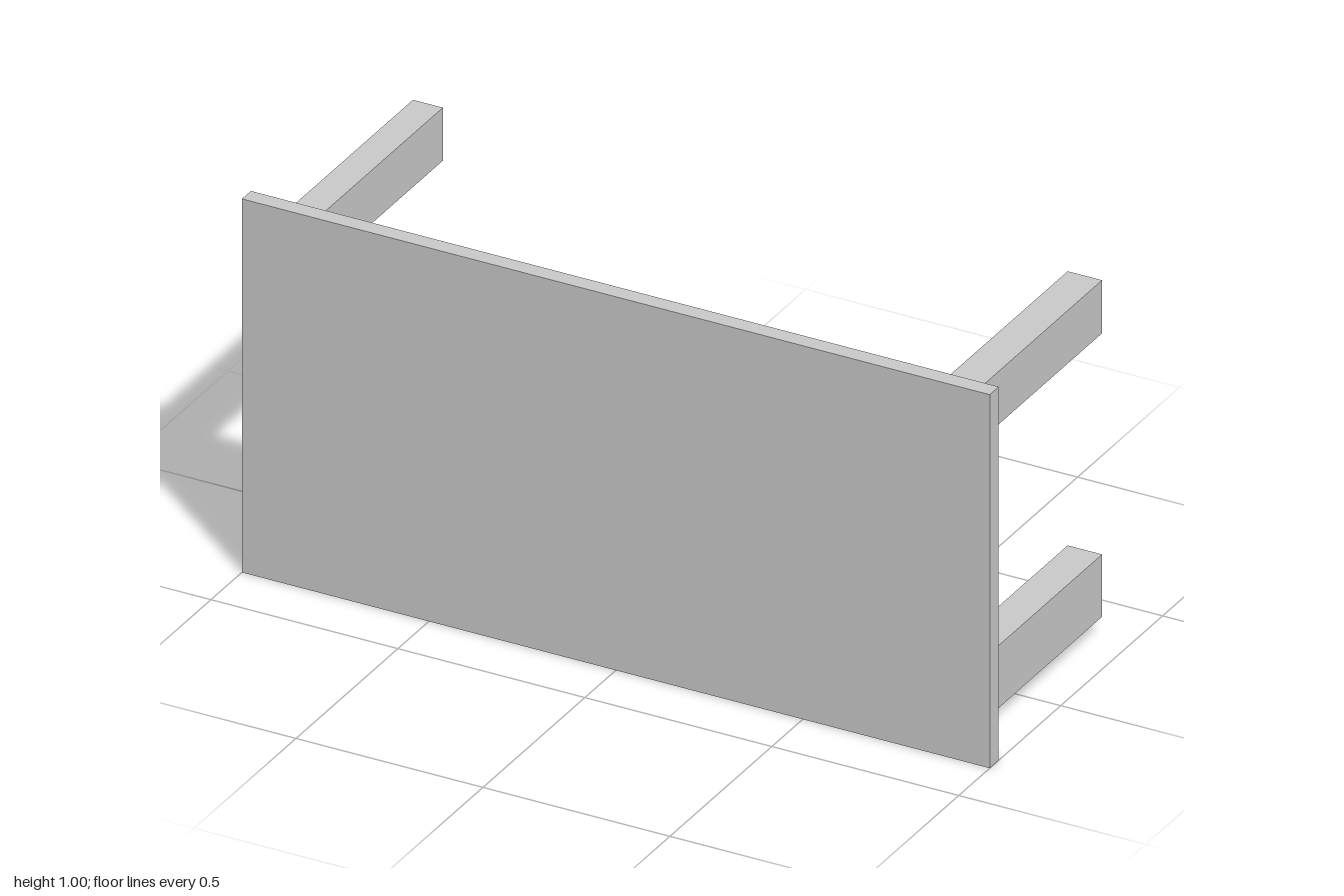
import * as THREE from 'three';

const material = new THREE.MeshStandardMaterial({ color: 0xcccccc, flatShading: true });

// Box given by its [min, max] range on each axis
function boxBetween(name, [x0, x1], [y0, y1], [z0, z1]) {
  const mesh = new THREE.Mesh(new THREE.BoxGeometry(x1 - x0, y1 - y0, z1 - z0), material);
  mesh.name = name;
  mesh.position.set((x0 + x1) / 2, (y0 + y1) / 2, (z0 + z1) / 2);
  return mesh;
}

export function createModel() {
  const table = new THREE.Group();
  table.name = 'table';

  // Table top, standing on its long edge and facing forward
  const joint = 0.304;
  table.add(boxBetween('tableTop', [-1, 1], [0, 1], [joint, 0.348]));

  // Four legs pointing backward; the lower pair is thicker, the left pair wider
  const columns = { Left: [0.829, 0.921], Right: [-0.922, -0.842] };
  const rows = { upper: [0.809, 0.951], lower: [0.05, 0.217] };
  for (const [side, x] of Object.entries(columns)) {
    for (const [level, y] of Object.entries(rows)) {
      table.add(boxBetween(`${level}${side}Leg`, x, y, [-0.348, joint]));
    }
  }
  return table;
}
